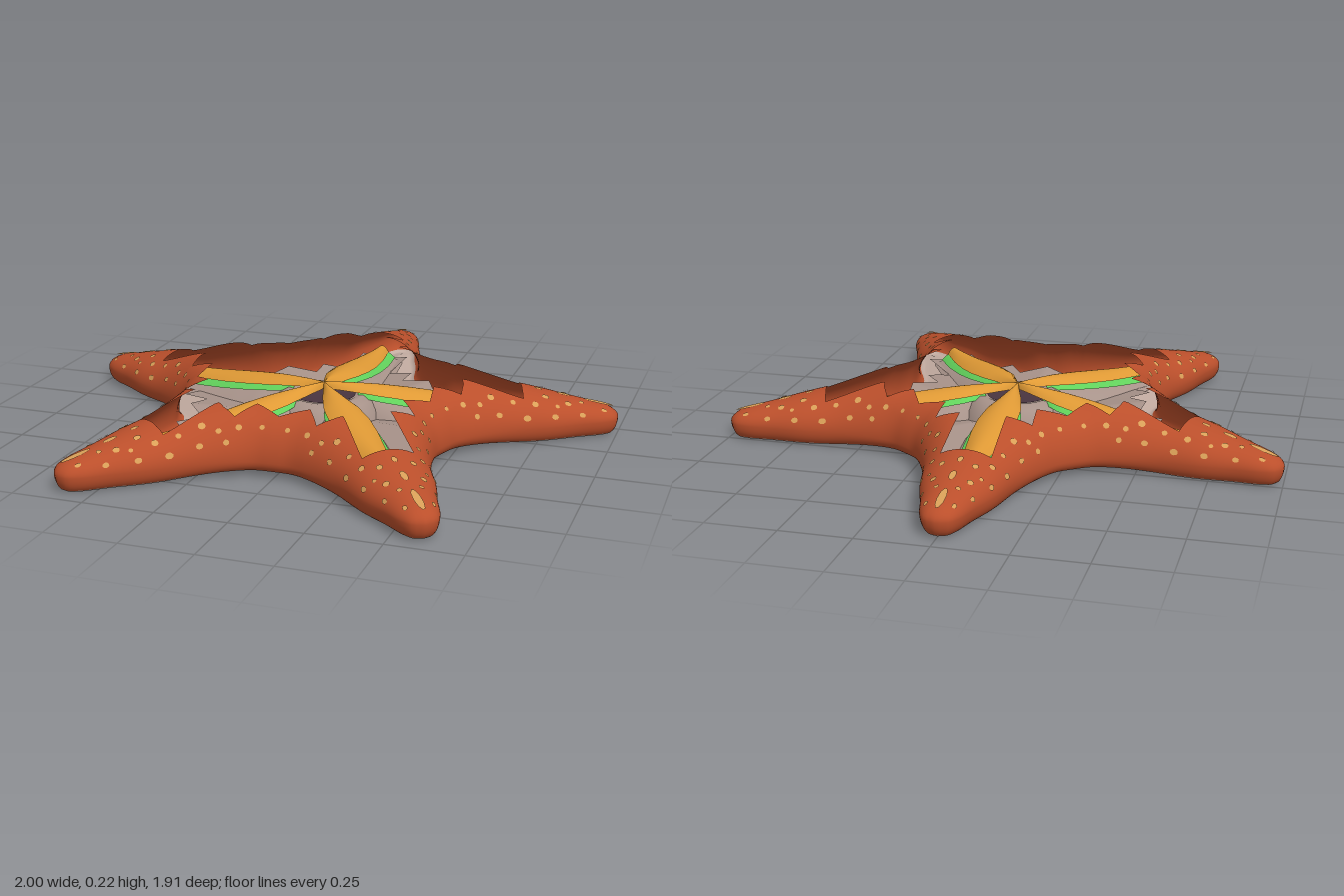
import * as THREE from 'three';
import { mergeVertices, mergeGeometries } from 'three/addons/utils/BufferGeometryUtils.js';

const N = 50;          // columns per half arm
const CENTRE_Z = 0.1;
const RIM_Y = 0.057;
const FLOOR_Y = 0.056;

// Half-arm outline in arm coordinates (w = sideways, a = along the arm), tip to valley
const outline = new THREE.CatmullRomCurve3([
  [0, 1.05], [0.04, 1.036], [0.066, 0.995], [0.094, 0.9], [0.128, 0.8], [0.165, 0.65],
  [0.217, 0.53], [0.26, 0.463], [0.308, 0.424],
].map(([w, a]) => new THREE.Vector3(w, a, 0))).getSpacedPoints(N);

// Value at t in a table of [t, value] pairs
function lookup(table, t) {
  let k = 0;
  while (k < table.length - 2 && t > table[k + 1][0]) k++;
  const [p, q] = [table[k], table[k + 1]];
  return p[1] + (q[1] - p[1]) * (t - p[0]) / (q[0] - p[0]);
}

// Ragged edge of the opening: u, degrees from the arm, radius
const cut = [[0, 0, 0.7], [0.4, 7, 0.705], [0.66, 9.5, 0.49], [0.74, 13.5, 0.5],
  [0.82, 19.5, 0.505], [0.88, 23, 0.415], [1, 36, 0.45]]
  .map(([u, deg, r]) => [u, r * Math.sin(deg * Math.PI / 180), r * Math.cos(deg * Math.PI / 180)]);
const cutW = cut.map(([u, w]) => [u, w]), cutA = cut.map(([u, , a]) => [u, a]);
const cutPoint = (u) => [lookup(cutW, u), lookup(cutA, u)];

// Distance to the outline
function edgeDistance(w, a) {
  w = Math.abs(w);
  let best = Infinity;
  for (let i = 0; i < N; i++) {
    const p = outline[i], q = outline[i + 1];
    const dx = q.x - p.x, dy = q.y - p.y;
    const t = THREE.MathUtils.clamp(((w - p.x) * dx + (a - p.y) * dy) / (dx * dx + dy * dy), 0, 1);
    best = Math.min(best, Math.hypot(p.x + dx * t - w, p.y + dy * t - a));
  }
  return best;
}

// Height of the rounded skin
function skinHeight(w, a) {
  const r = Math.hypot(w, a);
  const reach = 0.15 - 0.3 * Math.max(0, r - 0.7);
  const rise = 0.163 - 0.235 * Math.max(0, r - 0.5);
  const k = 1 - Math.min(1, edgeDistance(w, a) / reach);
  return RIM_Y + rise * Math.sqrt(1 - k * k);
}

// Underside: lifted between the arms and hollowed towards the middle
const LIP = 0.036;
const baseLift = (w, a) => 0.018 * (1 - THREE.MathUtils.smoothstep(Math.hypot(w, a), 0.48, 0.75));
const underHeight = (w, a) => baseLift(w, a)
  + 0.25 * (Math.min(0.17, Math.max(LIP, edgeDistance(w, a))) - LIP);

// Arm coordinates to model coordinates
function place(arm, w, a, y) {
  const t = arm * Math.PI * 0.4, c = Math.cos(t), s = Math.sin(t);
  return [w * c + a * s, y, CENTRE_Z + w * s - a * c];
}

// Smooth surface over an (nu x nv) grid of points
function grid(nu, nv, fn) {
  const pos = [], idx = [];
  for (let i = 0; i <= nu; i++) for (let j = 0; j <= nv; j++) pos.push(...fn(i, j));
  for (let i = 0; i < nu; i++) for (let j = 0; j < nv; j++) {
    const p = i * (nv + 1) + j, q = p + nv + 1;
    idx.push(p, p + 1, q, q, p + 1, q + 1);
  }
  let g = new THREE.BufferGeometry();
  g.setAttribute('position', new THREE.Float32BufferAttribute(pos, 3));
  g.setIndex(idx);
  g = mergeVertices(g, 1e-5);
  g.computeVertexNormals();
  return g;
}

// Surface running round all five arms; fn(n, j) gives [w, a, y] on a half arm
function around(nv, fn) {
  return grid(10 * N, nv, (i, j) => {
    const side = (i % (2 * N)) - N;
    const [w, a, y] = fn(Math.abs(side), j);
    return place(Math.floor(i / (2 * N)), side < 0 ? -w : w, a, y);
  });
}

// Outline point moved inwards
function inset(n, d) {
  const p = outline[Math.max(0, n - 1)], q = outline[Math.min(N, n + 1)];
  const t = n === 0 ? [1, 0] : n === N ? [0.809, -0.588]
    : [(q.x - p.x) / p.distanceTo(q), (q.y - p.y) / p.distanceTo(q)];
  return [outline[n].x + t[1] * d, outline[n].y - t[0] * d];
}

// Point on the rounded lower rim, k from 0 (outermost) to 1 (lowest)
function lowerRim(n, k) {
  const t = k * Math.PI / 2, [w, a] = inset(n, LIP * (1 - Math.cos(t)));
  return [w, a, RIM_Y - (RIM_Y - baseLift(w, a)) * Math.sin(t)];
}

export function createModel() {
  const model = new THREE.Group();
  const paint = (name, color) => {
    const m = new THREE.MeshStandardMaterial({ color, side: THREE.DoubleSide });
    m.name = name;
    return m;
  };
  const skin = paint('rustSkin', 0xbb4f2b), spotTan = paint('tanSpots', 0xd9a058);
  const flesh = paint('greyFlesh', 0xa8938a), pale = paint('paleUnderside', 0xc2aba0);
  const orange = paint('orangeGland', 0xe09a35), green = paint('greenGland', 0x62d25c);
  const plum = paint('darkPlum', 0x4a3540);
  const add = (name, geo, mat) => {
    const m = new THREE.Mesh(geo, mat);
    m.name = name;
    model.add(m);
  };

  // Outer skin: lower rim, then dome up to the ragged opening
  const LOW = 6, UP = 18, SEAM = 0.64;
  add('outerSkin', around(LOW + UP, (n, j) => {
    if (j < LOW) return lowerRim(n, SEAM * (1 - j / LOW));
    const s = ((j - LOW) / UP) ** 2, p = outline[n], q = cutPoint(n / N);
    const w = p.x + (q[0] - p.x) * s, a = p.y + (q[1] - p.y) * s;
    return [w, a, s === 0 ? RIM_Y : skinHeight(w, a)];
  }), skin);

  // Hollowed underside, ending in the curled lower lip
  add('underside', around(24, (n, j) => {
    if (j >= 20) return lowerRim(n, 1 - (1 - SEAM) * (j - 20) / 4);
    const [w, a] = inset(n, LIP).map((v) => v * j / 20);
    return [w, a, underHeight(w, a)];
  }), pale);

  // Floor of the body cavity
  add('cavityFloor', around(10, (n, j) => {
    const t = 1.06 * (1 - j / 10), [w, a] = cutPoint(n / N).map((v) => v * t);
    const lift = j === 10 ? 0 : Math.min(1, Math.atan2(w, a) / 0.63) * Math.hypot(w, a) / 0.45;
    return [w, a, FLOOR_Y + 0.04 * lift];
  }), flesh);

  // Stomach: raised ring with a dark middle
  const lathe = (pts) => new THREE.LatheGeometry(pts.map((p) => new THREE.Vector2(...p)), 40)
    .translate(0, 0, CENTRE_Z);
  add('stomachRing', lathe([[0.205, 0.06], [0.193, 0.095], [0.168, 0.128], [0.142, 0.142], [0.12, 0.14], [0.1, 0.13]]), flesh);
  add('stomachCentre', lathe([[0.112, 0.139], [0.06, 0.134], [0, 0.132]]), plum);

  // Layered glands along each arm: crest sinks outwards; each layer lies lower and wider
  const crest = (r) => 0.182 - 0.062 * THREE.MathUtils.smoothstep(r, 0, 0.72);
  const ridge = (arm, r0, widths, drop, fall) => grid(28, 14, (i, j) => {
    const r = r0 + (0.7 - r0) * i / 28, x = j / 7 - 1;
    return place(arm, x * lookup(widths, r), r, crest(r) - drop - fall(r) * x * x);
  });
  const layers = [
    ['armFlesh', flesh, 0.15, [[0.15, 0.07], [0.25, 0.118], [0.35, 0.122], [0.5, 0.11], [0.7, 0.085]],
      0.04, (r) => crest(r) - 0.04 - FLOOR_Y],
    ['greenGland', green, 0.12, [[0.12, 0.03], [0.2, 0.062], [0.3, 0.079], [0.4, 0.081], [0.55, 0.071], [0.7, 0.053]],
      0.02, () => 0.025],
    ['orangeGland', orange, 0, [[0, 0.004], [0.1, 0.036], [0.2, 0.061], [0.3, 0.07], [0.4, 0.067], [0.55, 0.05], [0.7, 0.026]],
      0, () => 0.024],
  ];

  // Painted spots: sideways, along, radius, stretch along the arm
  const spots = [[0, 0.975, 0.014, 4], [0, 0.85, 0.012, 2.2], [0, 0.76, 0.01, 1.6],
    [0.035, 0.91, 0.009, 1], [0.06, 0.86, 0.012, 1], [0.055, 0.78, 0.011, 1.2], [0.085, 0.82, 0.008, 1],
    [0.1, 0.74, 0.012, 1], [0.115, 0.66, 0.01, 1], [0.13, 0.58, 0.013, 1], [0.17, 0.54, 0.01, 1],
    [0.2, 0.48, 0.011, 1], [0.25, 0.42, 0.009, 1], [0.045, 0.99, 0.008, 1.4], [0.081, 0.91, 0.009, 1.3],
    [0.115, 0.81, 0.01, 1.3], [0.14, 0.71, 0.011, 1.3], [0.164, 0.61, 0.01, 1.2], [0.2, 0.53, 0.01, 1]];
  const spotGeos = [], e = 0.003;
  const addSpot = (arm, w, a, r, stretch) => {
    const slope = (dw, da) => (skinHeight(w + dw, a + da) - skinHeight(w - dw, a - da)) / (2 * e);
    const n = new THREE.Vector3(-slope(e, 0), 1, slope(0, e)).normalize();
    const along = new THREE.Vector3(0, 0, -1).addScaledVector(n, n.z).normalize();
    const basis = new THREE.Matrix4().makeBasis(along.clone().cross(n), along, n);
    const g = new THREE.CircleGeometry(r, 9).scale(1, stretch, 1).applyMatrix4(basis);
    g.translate(w + n.x * 0.003, skinHeight(w, a) + n.y * 0.003, -a + n.z * 0.003);
    spotGeos.push(g.rotateY(-arm * Math.PI * 0.4).translate(0, 0, CENTRE_Z));
  };

  const grooveWidths = [[0, 0.06], [0.1, 0.07], [0.35, 0.062], [0.6, 0.045], [0.8, 0.028], [0.9, 0.004]];
  for (let arm = 0; arm < 5; arm++) {
    for (const [name, mat, r0, widths, drop, fall] of layers) add(name, ridge(arm, r0, widths, drop, fall), mat);
    // Dark feeding groove below the arm
    add('armGroove', grid(36, 10, (i, j) => {
      const r = 0.9 * i / 36, w = (1 - j / 5) * lookup(grooveWidths, r);
      return place(arm, w, r, underHeight(w, r) - 0.005);
    }), plum);
    for (const [w, a, r, stretch] of spots) {
      addSpot(arm, w, a, r, stretch);
      if (w > 0) addSpot(arm, -w, a, r, stretch);
    }
  }
  add('mouth', new THREE.CircleGeometry(0.1, 20).rotateX(Math.PI / 2)
    .translate(0, underHeight(0, 0) - 0.006, CENTRE_Z), plum);
  add('skinSpots', mergeGeometries(spotGeos), spotTan);
  return model;
}
